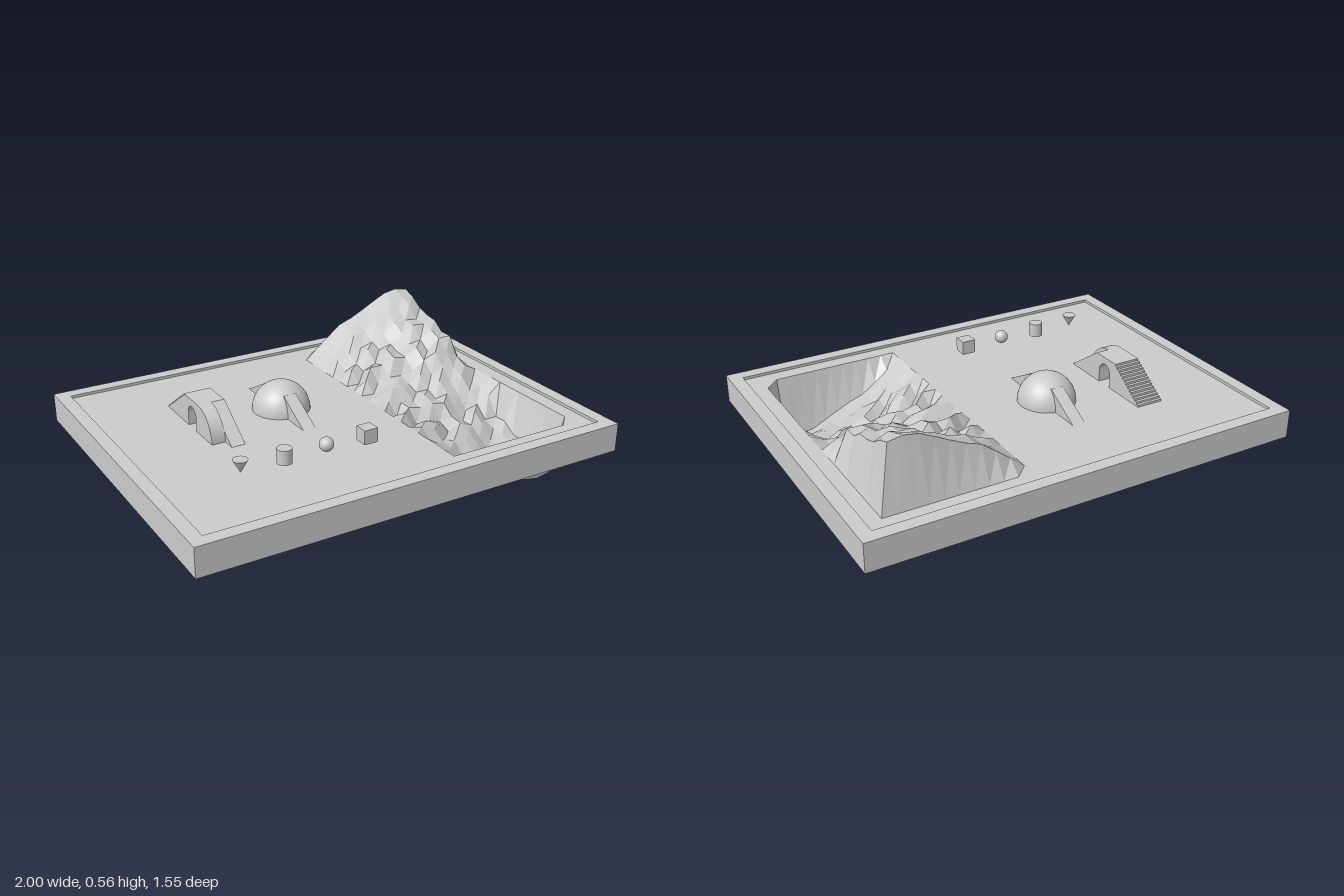
import * as THREE from 'three';

const FLOOR = 0.272;
const grey = new THREE.MeshStandardMaterial({ color: 0xcccccc });
const flat = new THREE.MeshStandardMaterial({ color: 0xcccccc, flatShading: true, side: THREE.DoubleSide });

function add(parent, name, geometry, x = 0, y = 0, z = 0, material = grey) {
  const mesh = new THREE.Mesh(geometry, material);
  mesh.name = name;
  mesh.position.set(x, y, z);
  parent.add(mesh);
  return mesh;
}

function rect(Type, x0, z0, x1, z1) {
  const r = new Type();
  r.moveTo(x0, z0).lineTo(x1, z0).lineTo(x1, z1).lineTo(x0, z1).closePath();
  return r;
}

// Horizontal plate with a rectangular opening
function plate(outer, hole, height) {
  const shape = rect(THREE.Shape, ...outer);
  shape.holes.push(rect(THREE.Path, ...hole));
  return new THREE.ExtrudeGeometry(shape, { depth: height, bevelEnabled: false }).rotateX(-Math.PI / 2);
}

// Side profile given in (z, y), extruded from x0 to x1
function prism(shape, x0, x1) {
  return new THREE.ExtrudeGeometry(shape, { depth: x1 - x0, bevelEnabled: false, curveSegments: 16 })
    .rotateY(-Math.PI / 2).translate(x1, 0, 0);
}

const poly = (pts) => new THREE.Shape(pts.map((p) => new THREE.Vector2(p[0], p[1])));

// Uneven grid: a hill at the back mirrored into a hollow at the front
function terrainGeometry() {
  const nx = 10, nz = 20, x0 = 0.22, z0 = -0.645, step = 0.065, stepZ = 0.0645;
  const across = [0, 0.19, 0.37, 0.54, 0.62, 0.73, 0.85, 0.96, 1, 0.96, 0];
  const along = [0, 1, 0.91, 0.81, 0.7, 0.59, 0.54, 0.43, 0.3, 0.16, 0];
  const noise = (i, j) => {
    const s = Math.sin(i * 12.9898 + j * 78.233) * 43758.5453;
    return (s - Math.floor(s)) - 0.5;
  };
  const height = (i, j) => {
    if (i === 0 || i === nx || j === 0 || j === nz) return 0;
    const side = j <= 10 ? 1 : -1;
    const k = j <= 10 ? j : nz - j;
    const rough = 0.06 * Math.min(1, (k - 1) / 5) * noise(i, k);
    return side * across[i] * along[k] * (side > 0 ? 0.283 : FLOOR) + side * rough;
  };
  const positions = [];
  const corner = (i, j) => [x0 + i * step, height(i, j), z0 + j * stepZ];
  for (let i = 0; i < nx; i++) {
    for (let j = 0; j < nz; j++) {
      const a = corner(i, j), b = corner(i, j + 1), c = corner(i + 1, j + 1), d = corner(i + 1, j);
      positions.push(...a, ...b, ...d, ...b, ...c, ...d);
    }
  }
  const g = new THREE.BufferGeometry();
  g.setAttribute('position', new THREE.Float32BufferAttribute(positions, 3));
  g.computeVertexNormals();
  return g;
}

export function createModel() {
  const model = new THREE.Group();
  model.name = 'playgroundBoard';

  // Board with the terrain opening, and the low rim around it
  const outer = [-1, -0.775, 1, 0.775];
  add(model, 'board', plate(outer, [0.22, -0.645, 0.87, 0.645], FLOOR - 0.155), 0, 0.155);
  add(model, 'rim', plate(outer, [-0.94, -0.715, 0.94, 0.715], 0.285 - FLOOR), 0, FLOOR);
  add(model, 'terrain', terrainGeometry(), 0, FLOOR, 0, flat);

  // Stair block: steps at the back, arched platform, curved slide and ramp in front
  const block = new THREE.Group();
  block.name = 'stairBlock';
  block.position.y = FLOOR;
  model.add(block);
  const H = 0.133, xl = -0.59, xm = -0.528, xr = -0.465;

  const steps = 14, stairPts = [[-0.21, 0]];
  stairPts.push([-0.21, H]);
  for (let s = steps; s > 0; s--) {
    const z = -0.405 + (0.195 * (s - 1)) / steps;
    stairPts.push([z, (H * s) / steps], [z, (H * (s - 1)) / steps]);
  }
  stairPts.pop();
  stairPts.push([-0.405, 0]);
  add(block, 'stairs', prism(poly(stairPts), xl, xr));

  const platform = new THREE.Shape();
  platform.moveTo(-0.21, 0).lineTo(-0.185, 0).lineTo(-0.185, 0.06);
  platform.absarc(-0.145, 0.06, 0.04, Math.PI, 0, true);
  platform.lineTo(-0.105, 0).lineTo(-0.08, 0).lineTo(-0.08, H).lineTo(-0.21, H);
  add(block, 'archedPlatform', prism(platform, xl, xr));

  const slide = new THREE.Shape();
  slide.moveTo(-0.08, 0).lineTo(0.05, 0);
  slide.absellipse(-0.08, 0, 0.13, H, 0, Math.PI / 2, false, 0);
  add(block, 'curvedSlide', prism(slide, xl, xm));
  add(block, 'straightRamp', prism(poly([[-0.08, 0], [0.11, 0], [-0.08, H]]), xm, xr));

  // Dome with a ramp on each side
  const dome = new THREE.Group();
  dome.name = 'domeWithRamps';
  dome.position.set(-0.16, FLOOR, -0.14);
  model.add(dome);
  add(dome, 'dome', new THREE.SphereGeometry(0.131, 40, 20, 0, Math.PI * 2, 0, Math.PI / 2));
  for (const s of [1, -1]) {
    const ramp = add(dome, s > 0 ? 'frontRamp' : 'backRamp',
      prism(poly([[0.04, 0], [0.263, 0], [0.09, 0.095], [0.04, 0.095]]), -0.033, 0.027));
    ramp.rotation.y = s > 0 ? 0 : Math.PI;
  }

  // Row of small hovering shapes
  const y = 0.344, z = 0.41;
  add(model, 'floatingCone', new THREE.ConeGeometry(0.032, 0.058, 32).rotateX(Math.PI), -0.635, y + 0.002, z);
  add(model, 'floatingCylinder', new THREE.CylinderGeometry(0.032, 0.032, 0.064, 32), -0.441, y, z);
  add(model, 'floatingBall', new THREE.SphereGeometry(0.031, 32, 16), -0.248, y, z);
  add(model, 'floatingCube', new THREE.BoxGeometry(0.064, 0.064, 0.064), -0.054, y, z);

  return model;
}
